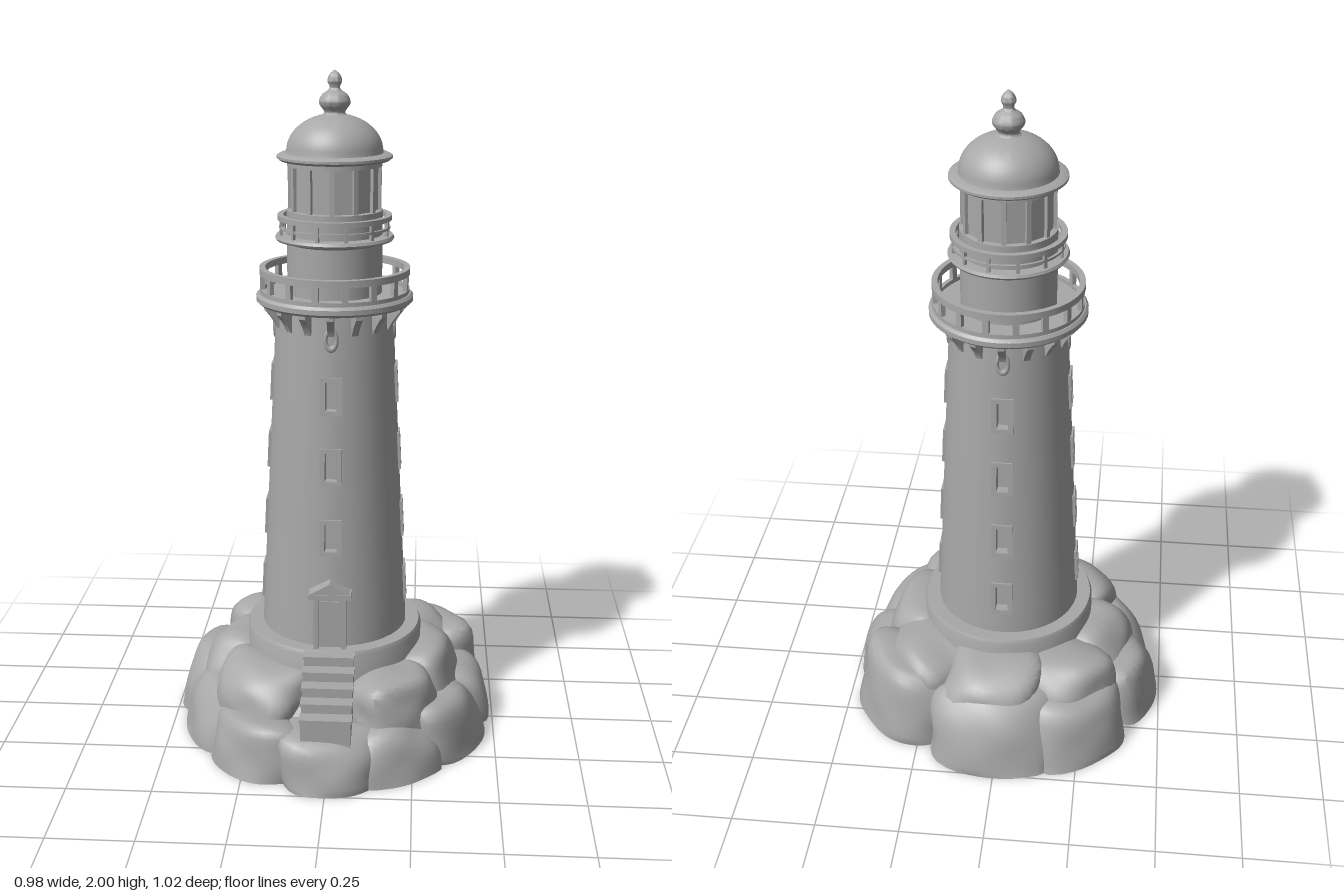
import * as THREE from 'three';
import { toCreasedNormals } from 'three/addons/utils/BufferGeometryUtils.js';

const stone = new THREE.MeshStandardMaterial({ color: 0xa8a8a8 });
stone.name = 'grey stone';

function add(parent, name, geo, x = 0, y = 0, z = 0, ry = 0) {
  const m = new THREE.Mesh(geo, stone);
  m.name = name;
  m.position.set(x, y, z);
  m.rotation.y = ry;
  parent.add(m);
  return m;
}

// Turned part from [radius, height] pairs, listed upwards along the outside
function turned(parent, name, pts, segments = 64, crease = 0.55) {
  const g = new THREE.LatheGeometry(pts.map(p => new THREE.Vector2(p[0], p[1])), segments);
  return add(parent, name, toCreasedNormals(g, crease));
}
const ring = (parent, name, r0, r1, y0, y1, seg = 64) =>
  turned(parent, name, [[r0, y0], [r1, y0], [r1, y1], [r0, y1], [r0, y0]], seg);

// Calls make(holder, i) in a holder turned to each of n directions
function around(parent, name, n, offset, make) {
  for (let i = 0; i < n; i++) {
    const h = new THREE.Group();
    h.name = name;
    h.rotation.y = ((i + offset) / n) * Math.PI * 2;
    parent.add(h);
    make(h, i);
  }
}

// Rectangular frame with an opening
function frame(w, h, t, depth) {
  const s = new THREE.Shape();
  s.moveTo(-w / 2, -h / 2).lineTo(w / 2, -h / 2).lineTo(w / 2, h / 2).lineTo(-w / 2, h / 2).closePath();
  const a = w / 2 - t, b = h / 2 - t;
  const hole = new THREE.Path();
  hole.moveTo(-a, -b).lineTo(-a, b).lineTo(a, b).lineTo(a, -b).closePath();
  s.holes.push(hole);
  return new THREE.ExtrudeGeometry(s, { depth, bevelEnabled: false });
}

function rng(seed) {
  let s = seed * 7919 + 13;
  return () => (s = (s * 16807) % 2147483647) / 2147483647;
}

// Boulder: a rounded solid cut by six box planes and some random ones, bent round the tower
function boulder(parent, name, deg, rIn, rOut, half, y0, y1, seed) {
  const rand = rng(seed);
  for (let i = 0; i < 5; i++) rand();
  const planes = [];
  for (const s of [-1, 1]) {
    planes.push([new THREE.Vector3(s, 0, 0), 1], [new THREE.Vector3(0, s, 0), 1], [new THREE.Vector3(0, 0, s), 1]);
  }
  for (let i = 0; i < 10; i++) {
    const n = new THREE.Vector3(rand() * 2 - 1, rand() * 1.3 - 0.3, rand() * 2 - 1).normalize();
    planes.push([n, 1.04 + rand() * 0.2]);
  }
  const g = new THREE.SphereGeometry(1, 40, 26);
  const p = g.attributes.position, d = new THREE.Vector3();
  const cy = (y0 + y1) / 2, floor = Math.max(0, y0);
  for (let i = 0; i < p.count; i++) {
    d.fromBufferAttribute(p, i);
    let sum = 0;
    for (const [n, h] of planes) sum += Math.pow(Math.max(0, n.dot(d)) / h, 9);
    const bump = 1.02 + 0.035 * Math.sin(5 * d.x + seed) * Math.sin(5 * d.y + 2 * seed) + 0.03 * Math.sin(6 * d.z + 3 * seed) * d.x;
    d.multiplyScalar(Math.pow(sum, -1 / 9) * bump);
    const x = d.x * half, y = Math.max(0, cy + d.y * (y1 - y0) / 2);
    p.setXYZ(i, x, y, d.z * (rOut - rIn) / 2 - 1.2 * x * x - 0.18 * (y - floor));
  }
  const a = deg * Math.PI / 180, r = (rIn + rOut) / 2;
  add(parent, name, toCreasedNormals(g, 0.8), Math.sin(a) * r, 0, Math.cos(a) * r, a);
}

const radiusAt = y => 0.221 - (y - 0.34) * 0.0505;
const windowHeights = [0.465, 0.675, 0.89, 1.1];
const hasWindow = (side, y) => side > 0 || y > 0.5;

// Tapered wall with recessed window openings on four sides
function shaftGeometry() {
  const w = 0.09, hh = 0.043, quarter = Math.PI / 2, pos = [];
  const at = (a, y, inset) => {
    const r = radiusAt(y) - inset;
    return [Math.sin(a) * r, y, Math.cos(a) * r];
  };
  const quad = (A, B, C, D) => pos.push(...A, ...B, ...C, ...A, ...C, ...D);
  const rows = [0.33, ...windowHeights.flatMap(y => [y - hh, y + hh]), 1.345];
  for (let side = 0; side < 4; side++) {
    const edges = [-w];
    for (let i = 0; i <= 8; i++) edges.push(w + (quarter - 2 * w) * i / 8);
    for (let c = 0; c < 9; c++) for (let j = 0; j < rows.length - 1; j++) {
      const a0 = side * quarter + edges[c], a1 = side * quarter + edges[c + 1];
      const corners = [[a0, rows[j]], [a1, rows[j]], [a1, rows[j + 1]], [a0, rows[j + 1]]];
      const outer = corners.map(k => at(...k, 0));
      if (c > 0 || j % 2 === 0 || !hasWindow(side, rows[j + 1])) { quad(...outer); continue; }
      const inner = corners.map(k => at(...k, 0.025));
      quad(...inner);
      for (let k = 0; k < 4; k++) quad(outer[k], outer[(k + 1) % 4], inner[(k + 1) % 4], inner[k]);
    }
  }
  const g = new THREE.BufferGeometry();
  g.setAttribute('position', new THREE.Float32BufferAttribute(pos, 3));
  return toCreasedNormals(g, 0.5);
}

export function createModel() {
  const model = new THREE.Group();
  model.name = 'lighthouse';

  // Rock base: degrees from the front, outer radius, half width, top
  const rocks = new THREE.Group();
  rocks.name = 'rocks';
  model.add(rocks);
  const lower = [
    [2, 0.507, 0.15, 0.16], [30, 0.48, 0.14, 0.16], [65, 0.485, 0.17, 0.18], [97, 0.492, 0.13, 0.19],
    [130, 0.515, 0.17, 0.24], [179, 0.512, 0.2, 0.235], [-142, 0.52, 0.17, 0.21], [-103, 0.497, 0.15, 0.2],
    [-67, 0.47, 0.15, 0.18], [-33, 0.49, 0.16, 0.16]];
  lower.forEach(([a, r, w, top], i) => boulder(rocks, 'lowerRock', a, 0.31, r, w, -0.06, top, i + 1));
  const upper = [
    [40, 0.42, 0.14, 0.27], [86, 0.4, 0.15, 0.285], [127, 0.44, 0.16, 0.28], [177, 0.448, 0.15, 0.29],
    [-142, 0.455, 0.14, 0.285], [-97, 0.415, 0.14, 0.28], [-45, 0.42, 0.15, 0.275]];
  upper.forEach(([a, r, w, top], i) => boulder(rocks, 'upperRock', a, 0.2, r, w, 0.09, top, i + 31));
  turned(rocks, 'baseRing', [[0.325, 0], [0.43, 0], [0.38, 0.12], [0.3, 0.22], [0.25, 0.22], [0.325, 0]], 8);

  // Stairs
  for (let i = 0; i < 5; i++) {
    const top = 0.335 - i * 0.03, z1 = 0.288 + i * 0.04;
    add(model, 'step', new THREE.BoxGeometry(0.146, top - 0.1, z1 - 0.2), 0, (top + 0.1) / 2, (z1 + 0.2) / 2);
    add(model, 'stepTread', new THREE.BoxGeometry(0.152, 0.01, 0.046), 0, top - 0.004, z1 - 0.02);
  }

  const tower = new THREE.Group();
  tower.name = 'tower';
  tower.position.z = -0.004;
  model.add(tower);

  // Plinth and shaft
  turned(tower, 'plinth', [[0, 0.17], [0.268, 0.17], [0.268, 0.325], [0.262, 0.337], [0.2, 0.337]]);
  add(tower, 'shaft', shaftGeometry());

  // Window frames on four sides
  around(tower, 'windowColumn', 4, 0, (h, side) => {
    for (const y of windowHeights) {
      if (!hasWindow(side, y)) continue;
      const w = add(h, 'windowFrame', frame(0.064, 0.112, 0.014, 0.014), 0, y, radiusAt(y) - 0.009);
      w.rotation.x = -0.05;
    }
    // Small oval window under the gallery
    const slot = add(h, 'ovalWindow', new THREE.TorusGeometry(0.016, 0.006, 8, 24), 0, 1.265, radiusAt(1.265));
    slot.scale.y = 1.7;
  });

  // Doorway with pediment
  add(tower, 'doorFrame', frame(0.096, 0.2, 0.015, 0.044), 0, 0.42, 0.198);
  add(tower, 'door', new THREE.BoxGeometry(0.07, 0.17, 0.02), 0, 0.42, 0.217);
  for (const s of [-1, 1]) add(tower, 'doorPanel', new THREE.BoxGeometry(0.022, 0.13, 0.006), s * 0.016, 0.42, 0.229);
  add(tower, 'doorLintel', new THREE.BoxGeometry(0.125, 0.016, 0.064), 0, 0.508, 0.222);
  const gable = new THREE.Shape();
  gable.moveTo(-0.062, 0).lineTo(0.062, 0).lineTo(0, 0.036).closePath();
  add(tower, 'doorPediment', new THREE.ExtrudeGeometry(gable, { depth: 0.06, bevelEnabled: false }), 0, 0.514, 0.192);

  // Gallery with brackets and railing
  const arm = new THREE.Shape();
  arm.moveTo(0.15, 1.27).lineTo(0.177, 1.275).quadraticCurveTo(0.186, 1.3, 0.212, 1.328);
  arm.lineTo(0.212, 1.345).lineTo(0.15, 1.345).closePath();
  const armGeo = new THREE.ExtrudeGeometry(arm, { depth: 0.02, bevelEnabled: false, curveSegments: 6 });
  around(tower, 'bracket', 16, 0, h => add(h, 'bracketArm', armGeo, 0.01, 0, 0, -Math.PI / 2));
  turned(tower, 'galleryFloor', [[0.15, 1.34], [0.22, 1.34], [0.229, 1.348], [0.229, 1.362], [0.222, 1.37], [0.12, 1.37]]);
  ring(tower, 'lowerRail', 0.205, 0.218, 1.37, 1.382);
  ring(tower, 'topRail', 0.202, 0.219, 1.424, 1.444);
  around(tower, 'railing', 16, 0.5, h =>
    add(h, 'railPost', new THREE.BoxGeometry(0.018, 0.06, 0.013), 0, 1.4, 0.211));

  // Watch room and lantern walkway
  turned(tower, 'watchRoom', [[0.138, 1.365], [0.138, 1.515], [0.15, 1.522], [0.168, 1.524], [0.172, 1.53],
    [0.168, 1.538], [0.138, 1.54], [0.138, 1.61], [0.11, 1.612]]);
  ring(tower, 'walkwayRail', 0.148, 0.165, 1.582, 1.596);
  ring(tower, 'walkwayLowerRail', 0.152, 0.16, 1.556, 1.563);
  around(tower, 'walkwayRailing', 12, 0.5, h =>
    add(h, 'walkwayPost', new THREE.BoxGeometry(0.01, 0.055, 0.009), 0, 1.562, 0.156));

  // Lantern with mullions
  turned(tower, 'lanternGlass', [[0.126, 1.6], [0.126, 1.76]], 12, 0.2);
  around(tower, 'lanternBars', 12, 0, h =>
    add(h, 'mullion', new THREE.BoxGeometry(0.014, 0.15, 0.016), 0, 1.68, 0.126));
  ring(tower, 'lanternHead', 0.11, 0.136, 1.735, 1.76);

  // Roof and finial
  turned(tower, 'cornice', [[0.11, 1.748], [0.155, 1.75], [0.165, 1.757], [0.165, 1.764], [0.152, 1.771], [0.1, 1.772]]);
  const dome = [[0.14, 1.768]];
  for (let i = 0; i <= 14; i++) {
    const a = (i / 14) * Math.PI / 2;
    dome.push([Math.cos(a) * 0.138, 1.775 + Math.sin(a) * 0.105]);
  }
  turned(tower, 'dome', dome);
  const finial = new THREE.SplineCurve([[0.046, 1.868], [0.03, 1.882], [0.034, 1.892], [0.045, 1.91], [0.036, 1.932],
    [0.018, 1.945], [0.015, 1.955], [0.021, 1.97], [0.014, 1.988], [0.0, 2.0]].map(p => new THREE.Vector2(p[0], p[1])));
  turned(tower, 'finial', finial.getPoints(36).map(p => [Math.max(0, p.x), p.y]), 32, 0.8);

  return model;
}
